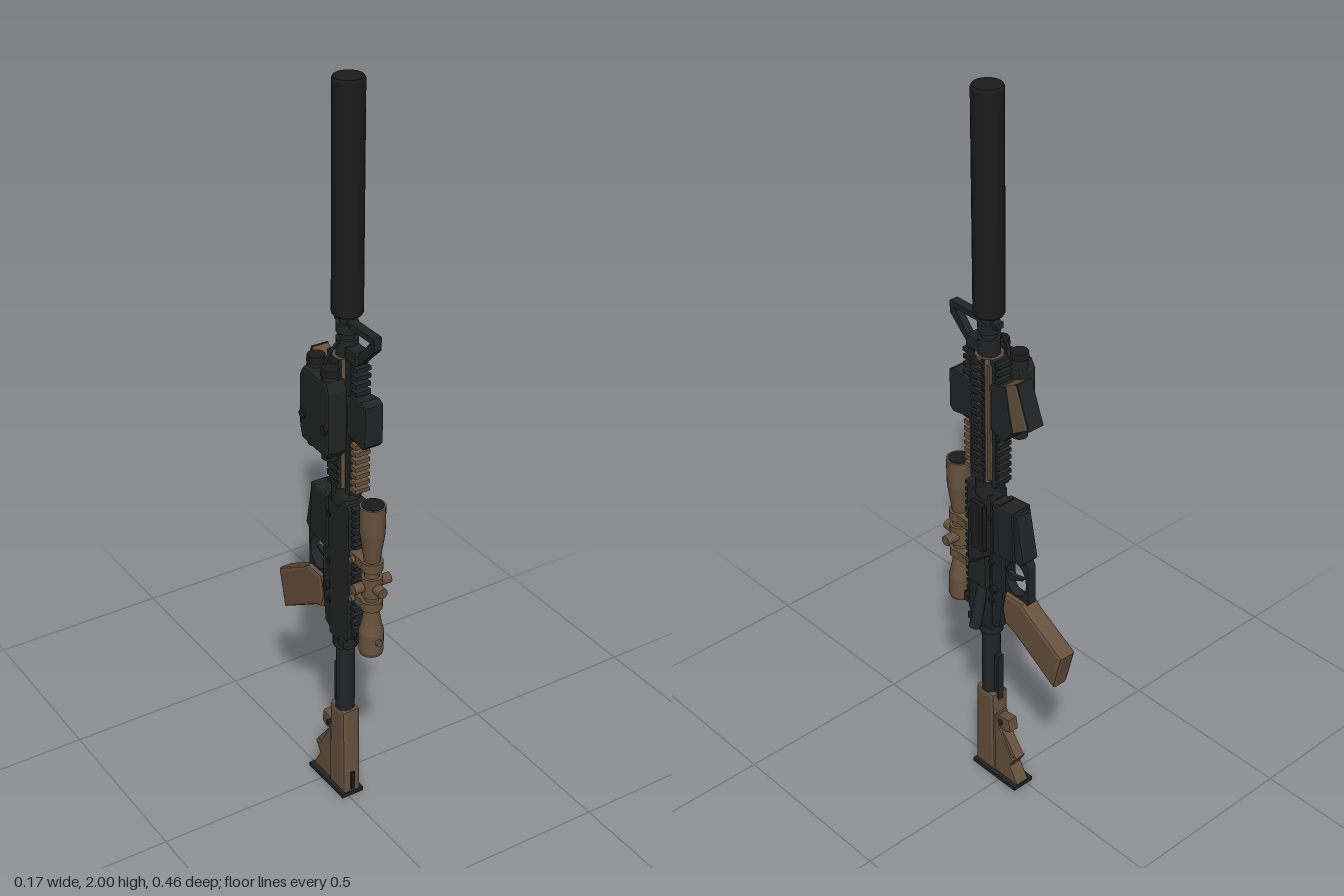
import * as THREE from 'three';

export function createModel() {
  const root = new THREE.Group();
  const mat = (name, color) => Object.assign(new THREE.MeshStandardMaterial({ color }), { name });
  const black = mat('matte black', 0x222324);
  const dark = mat('deep black', 0x1b1b1c);
  const tan = mat('earth tan', 0x66513e);
  const CX = 0.013, CZ = 0.063; // bore axis

  const add = (name, geo, material) => {
    const m = new THREE.Mesh(geo, material);
    m.name = name;
    root.add(m);
    return m;
  };
  // box from min / max corners
  const box = (name, m, x0, x1, y0, y1, z0, z1) =>
    add(name, new THREE.BoxGeometry(x1 - x0, y1 - y0, z1 - z0)
      .translate((x0 + x1) / 2, (y0 + y1) / 2, (z0 + z1) / 2), m);
  // cylinder between two points
  const rod = (name, m, a, b, r0, r1 = r0, seg = 24) => {
    const A = new THREE.Vector3(...a), B = new THREE.Vector3(...b);
    const d = B.clone().sub(A);
    const mesh = add(name, new THREE.CylinderGeometry(r1, r0, d.length(), seg), m);
    mesh.position.copy(A).add(B).multiplyScalar(0.5);
    mesh.quaternion.setFromUnitVectors(new THREE.Vector3(0, 1, 0), d.normalize());
    return mesh;
  };
  const upright = (name, m, y0, y1, r, r1 = r, x = CX, z = CZ, seg = 28) =>
    rod(name, m, [x, y0, z], [x, y1, z], r, r1, seg);
  // side profile of [z, y] points, given a width across x
  const slab = (name, m, pts, width, bevel = 0, x = CX, hole = null) => {
    const s = new THREE.Shape(pts.map(p => new THREE.Vector2(...p)));
    if (hole) s.holes.push(new THREE.Path(hole.map(p => new THREE.Vector2(...p))));
    const depth = width - 2 * bevel;
    const g = new THREE.ExtrudeGeometry(s, {
      depth, bevelEnabled: bevel > 0, bevelSize: bevel, bevelOffset: -bevel,
      bevelThickness: bevel, bevelSegments: 2, curveSegments: 16,
    });
    g.translate(0, 0, -depth / 2).rotateY(-Math.PI / 2).translate(x, 0, 0);
    return add(name, g, m);
  };
  // profile of [radius, y] points turned about an upright axis
  const turned = (name, m, pts, x, z) => {
    for (let i = 1; i < pts.length; i++) {
      upright(name, m, pts[i - 1][1], pts[i][1], pts[i - 1][0], pts[i][0], x, z);
    }
  };

  // suppressor and barrel
  turned('suppressor', dark, [[0.035, 1.42], [0.039, 1.426], [0.039, 1.994], [0.036, 2]], CX, CZ);
  upright('barrel', black, 0.9, 1.43, 0.02);
  upright('muzzleCollar', black, 1.375, 1.4, 0.028);
  upright('gasBlock', black, 1.31, 1.36, 0.028);

  // folding front sight
  box('frontSightBar', black, 0.001, 0.025, 1.393, 1.409, 0.025, 0.19);
  slab('frontSightBrace', black, [[0.192, 1.405], [0.192, 1.375], [0.125, 1.31], [0.095, 1.31], [0.095, 1.33], [0.12, 1.33], [0.175, 1.393]], 0.02);
  box('frontSightBase', black, -0.006, 0.032, 1.31, 1.345, 0.08, 0.125);

  // handguard: tan core, black rails on four sides
  upright('handguardCore', tan, 0.95, 1.315, 0.036, 0.036, CX, CZ, 12);
  box('handguardTop', black, -0.009, 0.035, 0.95, 1.315, 0.085, 0.112);
  box('handguardBottom', black, -0.009, 0.035, 0.95, 1.315, 0.018, 0.04);
  box('sideRailRight', black, -0.024, 0, 0.96, 1.315, 0.045, 0.083);
  box('sideRailLeft', black, 0.026, 0.047, 0.96, 1.315, 0.045, 0.083);
  for (let i = 0; i < 17; i++) {
    const y = 0.965 + i * 0.0207, t = y + 0.011;
    box('topRailTooth', i < 7 ? tan : black, -0.008, 0.034, y, t, 0.11, 0.135);
    box('bottomRailTooth', black, -0.008, 0.034, y, t, 0.007, 0.02);
    box('leftRailTooth', black, 0.046, 0.055, y, t, 0.043, 0.085);
    box('rightRailTooth', black, -0.03, -0.023, y, t, 0.043, 0.085);
  }
  box('gasTubeStrip', tan, 0.03, 0.042, 0.97, 1.3, 0.03, 0.04);
  box('gasTubeStrip', tan, -0.016, -0.004, 0.97, 1.3, 0.03, 0.04);
  upright('barrelNut', black, 0.91, 0.96, 0.038);

  // top sighting box
  slab('topRailBox', black, [[0.1, 1.225], [0.165, 1.235], [0.182, 1.225], [0.182, 1.12], [0.17, 1.108], [0.1, 1.12]], 0.052, 0.004);

  // side light unit with two lamps
  slab('sideLightBody', black, [[0.01, 1.09], [0.0, 1.12], [0.0, 1.26], [0.015, 1.285], [0.12, 1.285], [0.132, 1.26], [0.132, 1.1], [0.12, 1.08]], 0.055, 0.008, -0.056);
  box('sideLightMount', black, -0.034, -0.02, 1.12, 1.26, 0.035, 0.1);
  for (const [x, z] of [[-0.048, 0.022], [-0.058, 0.1]]) {
    upright('lampBarrel', black, 1.07, 1.3, 0.021, 0.021, x, z);
    upright('lampRim', dark, 1.295, 1.312, 0.024, 0.022, x, z);
  }
  for (const z of [0.02, 0.115]) rod('lightKnob', dark, [-0.08, 1.16, z], [-0.089, 1.16, z], 0.012, 0.012, 12);
  add('lightCable', new THREE.TubeGeometry(new THREE.CatmullRomCurve3([
    new THREE.Vector3(-0.05, 1.3, 0.06), new THREE.Vector3(-0.035, 1.34, 0.07),
    new THREE.Vector3(-0.015, 1.355, 0.07), new THREE.Vector3(0, 1.33, 0.07)]), 16, 0.004, 6), black);

  // angled foregrip
  slab('foregripBase', black, [[0.03, 1.12], [0.03, 1.25], [-0.022, 1.265], [-0.045, 1.145], [-0.02, 1.11]], 0.056, 0.004);
  slab('foregrip', tan, [[-0.012, 1.262], [-0.055, 1.286], [-0.096, 1.175], [-0.045, 1.142]], 0.048, 0.004);
  slab('foregripCap', black, [[-0.054, 1.287], [-0.06, 1.287], [-0.103, 1.175], [-0.096, 1.172]], 0.046);

  // receiver
  slab('upperReceiver', black, [[0.03, 0.5], [0.03, 0.925], [0.112, 0.925], [0.118, 0.91], [0.118, 0.53], [0.1, 0.5]], 0.06, 0.005);
  slab('lowerReceiver', black, [[0.05, 0.505], [0.05, 0.9], [0, 0.91], [-0.005, 0.76], [-0.008, 0.62], [0.005, 0.52]], 0.05, 0.004);
  for (let i = 0; i < 19; i++) {
    box('receiverRailTooth', black, -0.008, 0.034, 0.535 + i * 0.0207, 0.546 + i * 0.0207, 0.115, 0.135);
  }
  box('ejectionCover', dark, 0.04, 0.056, 0.75, 0.89, 0.045, 0.09);
  rod('forwardAssist', black, [0.035, 0.66, 0.062], [0.07, 0.51, 0.062], 0.014, 0.016);
  slab('brassDeflector', black, [[0.035, 0.64], [0.035, 0.74], [0.1, 0.69], [0.1, 0.64]], 0.022, 0.003, 0.048);
  box('chargingHandle', black, -0.025, 0.05, 0.5, 0.52, 0.085, 0.112);
  slab('rearSight', black, [[0.11, 0.53], [0.11, 0.575], [0.145, 0.56], [0.145, 0.53]], 0.04);
  for (const y of [0.6, 0.72, 0.86]) rod('receiverPin', dark, [-0.02, y, 0.03], [0.046, y, 0.03], 0.008, 0.008, 12);
  rod('selector', dark, [-0.024, 0.64, 0.02], [0.05, 0.64, 0.02], 0.011, 0.011, 12);

  // magazine, trigger and guard
  slab('magazineWell', black, [[0.02, 0.755], [0.02, 0.905], [-0.05, 0.912], [-0.055, 0.765]], 0.066, 0.004);
  slab('magazine', black, [[0, 0.765], [0, 0.9], [-0.06, 0.902], [-0.086, 0.775], [-0.075, 0.762]], 0.05, 0.004);
  const ring = [];
  for (let i = 0; i < 20; i++) {
    const a = i / 20 * Math.PI * 2;
    ring.push([-0.046 + Math.cos(a) * 0.037, 0.7 + Math.sin(a) * 0.051]);
  }
  slab('triggerGuard', black, [[0, 0.635], [0, 0.77], [-0.082, 0.77], [-0.09, 0.755], [-0.09, 0.645], [-0.08, 0.625]], 0.026, 0, CX, ring);
  slab('trigger', black, [[0, 0.705], [0, 0.68], [-0.03, 0.683], [-0.062, 0.7], [-0.064, 0.706], [-0.03, 0.698]], 0.012);

  // pistol grip
  slab('pistolGrip', tan, [[-0.005, 0.59], [-0.015, 0.645], [-0.08, 0.645], [-0.105, 0.625], [-0.226, 0.553], [-0.198, 0.443], [-0.05, 0.535], [-0.015, 0.55]], 0.052, 0.01);

  // buffer tube
  upright('bufferTube', black, 0.03, 0.51, 0.025);
  upright('castleNut', black, 0.475, 0.5, 0.033, 0.033, CX, CZ, 12);
  box('tubeKeel', black, 0.003, 0.023, 0.25, 0.4, 0.027, 0.045);

  // stock
  slab('stockBody', tan, [[0.1, 0.01], [0.095, 0.275], [0.028, 0.275], [0.025, 0.01]], 0.054, 0.01);
  slab('stockToe', tan, [[0.04, 0.01], [0.04, 0.21], [0.022, 0.21], [0.012, 0.17], [-0.032, 0.09], [-0.05, 0.095], [-0.03, 0.06], [-0.06, 0.01]], 0.04, 0.003);
  slab('stockWeb', tan, [[0.03, 0.12], [0.03, 0.17], [-0.005, 0.155], [-0.05, 0.095], [-0.02, 0.09]], 0.03, 0.003);
  slab('stockLever', tan, [[0.03, 0.17], [0.03, 0.205], [-0.02, 0.212], [-0.026, 0.175], [-0.01, 0.165]], 0.03, 0.003);
  rod('leverPin', black, [-0.008, 0.19, 0.01], [0.034, 0.19, 0.01], 0.008, 0.008, 12);
  slab('buttPad', black, [[0.103, 0], [0.103, 0.012], [-0.062, 0.012], [-0.062, 0]], 0.066);
  box('slingSlot', dark, 0.007, 0.019, 0.02, 0.075, 0.09, 0.104);

  // scope
  const SZ = 0.18;
  turned('scopeTube', tan, [[0.029, 0.52], [0.032, 0.53], [0.032, 0.585], [0.026, 0.61], [0.019, 0.65], [0.019, 0.785],
    [0.024, 0.82], [0.032, 0.875], [0.033, 0.953]], CX, SZ);
  upright('objectiveLens', dark, 0.95, 0.955, 0.028, 0.028, CX, SZ);
  upright('eyepieceLens', dark, 0.518, 0.523, 0.025, 0.025, CX, SZ);
  upright('turretHousing', tan, 0.695, 0.75, 0.027, 0.027, CX, SZ);
  rod('sideTurrets', tan, [-0.04, 0.722, 0.175], [0.068, 0.722, 0.175], 0.014);
  rod('topTurret', tan, [CX, 0.722, SZ], [CX, 0.722, 0.23], 0.014);
  rod('zoomKnob', tan, [CX, 0.565, SZ], [CX, 0.565, 0.219], 0.009, 0.009, 12);
  for (const y of [0.655, 0.77]) {
    upright('scopeRing', tan, y, y + 0.025, 0.028, 0.028, CX, SZ);
    box('ringFoot', tan, -0.012, 0.038, y, y + 0.025, 0.118, 0.17);
    rod('ringScrew', tan, [-0.022, y + 0.012, 0.135], [0.04, y + 0.012, 0.135], 0.009, 0.009, 12);
  }

  return root;
}
